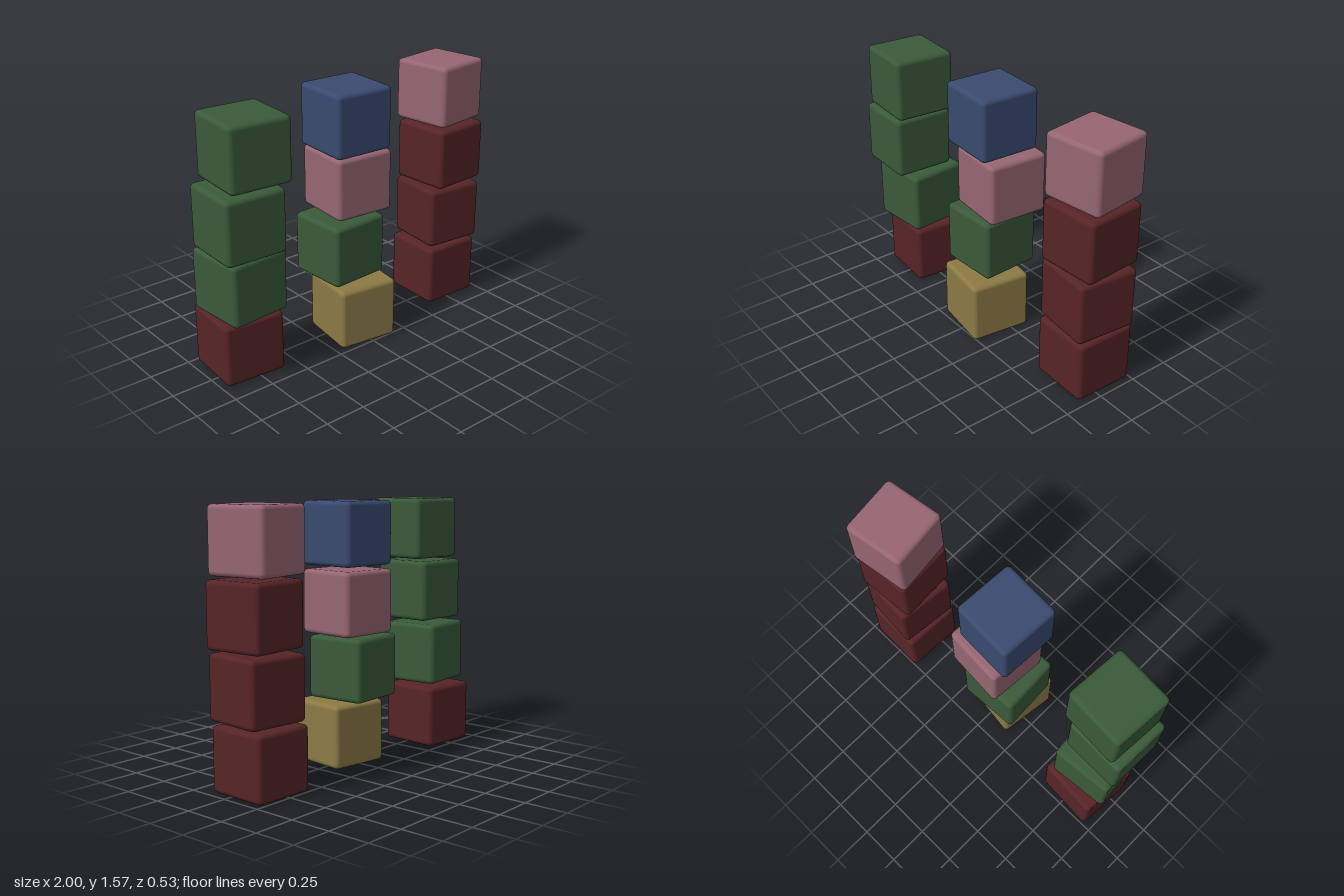
import * as THREE from 'three';
import { RoundedBoxGeometry } from 'three/addons/geometries/RoundedBoxGeometry.js';

const SIZE = 0.378, STEP = 0.397, BASE = 0.196;

export function createModel() {
  const colours = { green: 0x3a5a3a, darkRed: 0x572426, blue: 0x3a4a70, pink: 0x966672, ochre: 0x8c7a45 };
  const materials = {};
  for (const [name, color] of Object.entries(colours)) {
    materials[name] = new THREE.MeshStandardMaterial({ color });
    materials[name].name = name;
  }

  // Each stack from the bottom up: colour, x, z, turn in degrees
  const stacks = {
    rightStack: [
      ['darkRed', -0.77, -0.04, -4],
      ['green', -0.778, 0.006, 5],
      ['green', -0.807, 0.062, -1.8],
      ['green', -0.759, 0.065, -4],
    ],
    middleStack: [
      ['ochre', -0.003, 0.057, -7.5],
      ['green', -0.045, -0.015, 3],
      ['pink', 0.027, -0.033, -4.2],
      ['blue', -0.013, 0.003, -2.8],
    ],
    leftStack: [
      ['darkRed', 0.778, -0.056, -1.3],
      ['darkRed', 0.791, -0.05, -5.2],
      ['darkRed', 0.797, -0.045, 3.8],
      ['pink', 0.789, -0.058, 7.8],
    ],
  };

  // Softly rounded cube shared by all blocks
  const cube = new RoundedBoxGeometry(SIZE, SIZE, SIZE, 2, 0.027);
  const model = new THREE.Group();
  model.name = 'stackedBlocks';
  for (const [stackName, blocks] of Object.entries(stacks)) {
    const stack = new THREE.Group();
    stack.name = stackName;
    blocks.forEach(([colour, x, z, turn], i) => {
      const block = new THREE.Mesh(cube, materials[colour]);
      block.name = `${colour}Block${i + 1}`;
      block.position.set(x, BASE + i * STEP, z);
      block.rotation.y = THREE.MathUtils.degToRad(turn);
      stack.add(block);
    });
    model.add(stack);
  }
  return model;
}
